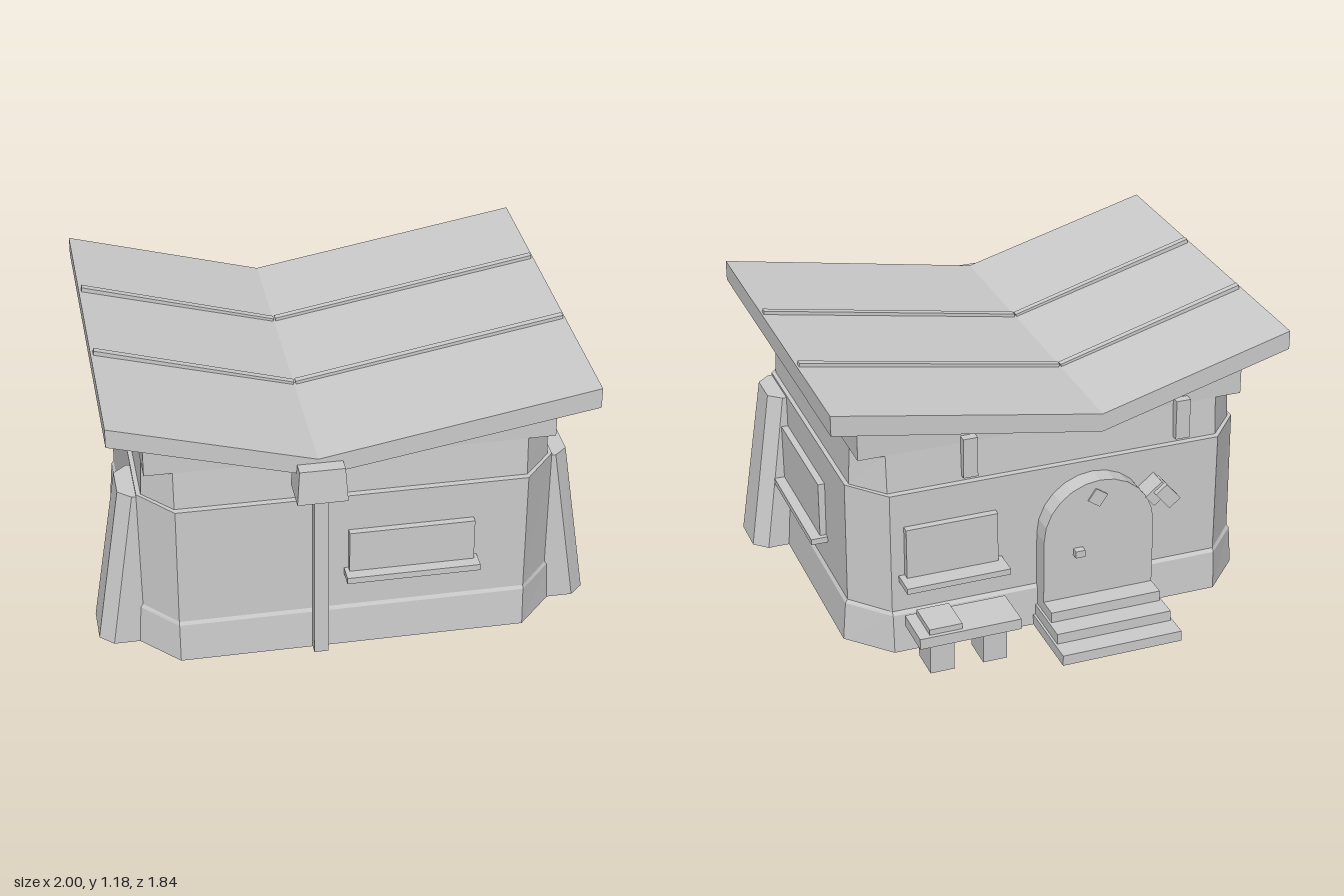
import * as THREE from 'three';

const plaster = new THREE.MeshStandardMaterial({ color: 0xcccccc, side: THREE.DoubleSide, flatShading: true });
plaster.name = 'plaster';

// Rectangle with cut corners, listed from +x towards +z
function octagon(x0, x1, z0, z1, cx, cz, y) {
  return [
    [x1, z1 - cz], [x1 - cx, z1], [x0 + cx, z1], [x0, z1 - cz],
    [x0, z0 + cz], [x0 + cx, z0], [x1 - cx, z0], [x1, z0 + cz],
  ].map(([x, z]) => new THREE.Vector3(x, y, z));
}

// Skin stacked rings with flat faces, optionally capping the ends
function loft(rings, bottom, top) {
  const pts = [];
  const n = rings[0].length;
  for (let r = 0; r < rings.length - 1; r++) {
    for (let i = 0; i < n; i++) {
      const j = (i + 1) % n, a = rings[r], b = rings[r + 1];
      pts.push(a[i], b[i], a[j], b[i], b[j], a[j]);
    }
  }
  const last = rings[rings.length - 1];
  for (let i = 1; i < n - 1; i++) {
    if (bottom) pts.push(rings[0][0], rings[0][i], rings[0][i + 1]);
    if (top) pts.push(last[0], last[i + 1], last[i]);
  }
  const geo = new THREE.BufferGeometry().setFromPoints(pts);
  geo.computeVertexNormals();
  return geo;
}

// Extrude an outline drawn in x, y between two depths
function slab(shape, z0, z1, curveSegments = 6) {
  const geo = new THREE.ExtrudeGeometry(shape, { depth: z1 - z0, bevelEnabled: false, curveSegments });
  return geo.translate(0, 0, z0);
}

const outline = (pts) => new THREE.Shape(pts.map(([x, y]) => new THREE.Vector2(x, y)));

export function createModel() {
  const model = new THREE.Group();
  model.name = 'house';

  const add = (name, geo) => {
    const mesh = new THREE.Mesh(geo, plaster);
    mesh.name = name;
    model.add(mesh);
    return mesh;
  };
  const box = (name, x0, x1, y0, y1, z0, z1) => {
    const mesh = add(name, new THREE.BoxGeometry(x1 - x0, y1 - y0, z1 - z0));
    mesh.position.set((x0 + x1) / 2, (y0 + y1) / 2, (z0 + z1) / 2);
    return mesh;
  };

  // Hollow walls: flared plinth, main storey and set-back upper band
  const wallRing = (y, x, z0, z1) => octagon(-x, x, z0, z1, x - 0.695, z1 - 0.615, y);
  add('walls', loft([
    wallRing(0, 0.855, -0.595, 0.785),
    wallRing(0.165, 0.842, -0.585, 0.775),
    wallRing(0.18, 0.832, -0.575, 0.768),
    wallRing(0.70, 0.828, -0.575, 0.768),
    wallRing(0.70, 0.81, -0.548, 0.742),
    wallRing(0.86, 0.803, -0.537, 0.732),
  ]));
  add('ceiling', loft([wallRing(0.69, 0.828, -0.575, 0.768), wallRing(0.7, 0.828, -0.575, 0.768)], true, false));

  // Square-cornered gable wall following the roof valley
  add('gableWall', slab(outline([
    [-0.805, 0.86], [0.805, 0.86], [0.805, 1.04], [-0.155, 0.88], [-0.805, 1.06],
  ]), -0.537, 0.732));

  // Butterfly roof
  add('roof', slab(outline([
    [-0.95, 1.085], [-0.155, 0.865], [0.94, 1.05], [0.94, 1.135], [-0.155, 0.942], [-0.95, 1.163],
  ]), -0.655, 0.855));

  // Roof ribs
  for (const z of [0.3, -0.205]) {
    add('roofRib', slab(outline([
      [-0.94, 1.155], [-0.16, 0.938], [-0.155, 0.953], [-0.937, 1.178],
    ]), z - 0.013, z + 0.013));
    add('roofRib', slab(outline([
      [-0.147, 0.938], [0.932, 1.128], [0.929, 1.148], [-0.15, 0.956],
    ]), z - 0.013, z + 0.013));
  }

  // Leaning buttresses on both sides
  for (const s of [1, -1]) {
    const foot = s > 0 ? [0.76, 1] : [-1, -0.76];
    const head = s > 0 ? [0.685, 0.897] : [-0.897, -0.685];
    add('buttress', loft([
      octagon(foot[0], foot[1], 0.365, 0.63, 0.055, 0.052, 0),
      octagon(head[0], head[1], 0.39, 0.615, 0.052, 0.045, 0.69),
    ], true, true));
  }

  // Rain hopper and downpipe
  const hopperRing = (y, w, d) => [[w, d], [-w, d], [-w, -d], [w, -d]]
    .map(([x, z]) => new THREE.Vector3(x - 0.148, y, z + 0.842));
  add('rainHopper', loft([hopperRing(0.783, 0.098, 0.077), hopperRing(0.925, 0.088, 0.067)], true, true));
  box('downpipe', -0.177, -0.12, 0.053, 0.79, 0.835, 0.89);

  // Front, side and back windows with sills
  box('frontWindow', -0.02, 0.48, 0.355, 0.54, 0.75, 0.796);
  box('frontSill', -0.037, 0.497, 0.333, 0.36, 0.73, 0.842);
  box('sideWindow', 0.81, 0.857, 0.325, 0.56, -0.145, 0.385);
  box('sideSill', 0.79, 0.9, 0.3, 0.325, -0.165, 0.405);
  box('backWindow', 0.26, 0.64, 0.335, 0.555, -0.605, -0.56);
  box('backSill', 0.235, 0.665, 0.315, 0.34, -0.682, -0.54);

  // Arched door block
  const arch = new THREE.Shape();
  arch.moveTo(-0.385, 0);
  arch.lineTo(0.085, 0);
  arch.lineTo(0.085, 0.415);
  arch.absarc(-0.15, 0.415, 0.235, 0, Math.PI, false);
  arch.lineTo(-0.385, 0);
  add('door', slab(arch, -0.655, -0.56));
  box('doorKnob', -0.08, -0.04, 0.33, 0.36, -0.685, -0.65);
  box('doorOrnament', -0.17, -0.11, 0.545, 0.605, -0.662, -0.65).rotation.z = 0.6;

  // Lamp block leaning on the arch
  box('lampBracket', -0.445, -0.355, 0.51, 0.57, -0.66, -0.56).rotation.z = -0.7;
  box('lampBlock', -0.465, -0.405, 0.485, 0.58, -0.682, -0.6).rotation.z = -0.7;

  // Entrance steps
  for (let i = 0; i < 3; i++) {
    box('step', -0.405 + i * 0.01, 0.105 - i * 0.01, 0, 0.045 * (i + 1), -0.917 + i * 0.088, -0.58);
  }

  // Bench with a small box on top
  box('benchSeat', 0.24, 0.66, 0.14, 0.186, -0.812, -0.627);
  box('benchBox', 0.48, 0.615, 0.186, 0.21, -0.795, -0.637);
  for (const x of [0.34, 0.56]) box('benchLeg', x - 0.05, x + 0.05, 0, 0.14, -0.783, -0.645);

  // Short posts under the back eaves
  for (const x of [0.36, -0.54]) box('eavePost', x - 0.03, x + 0.03, 0.72, 0.89, -0.572, -0.52);

  return model;
}
